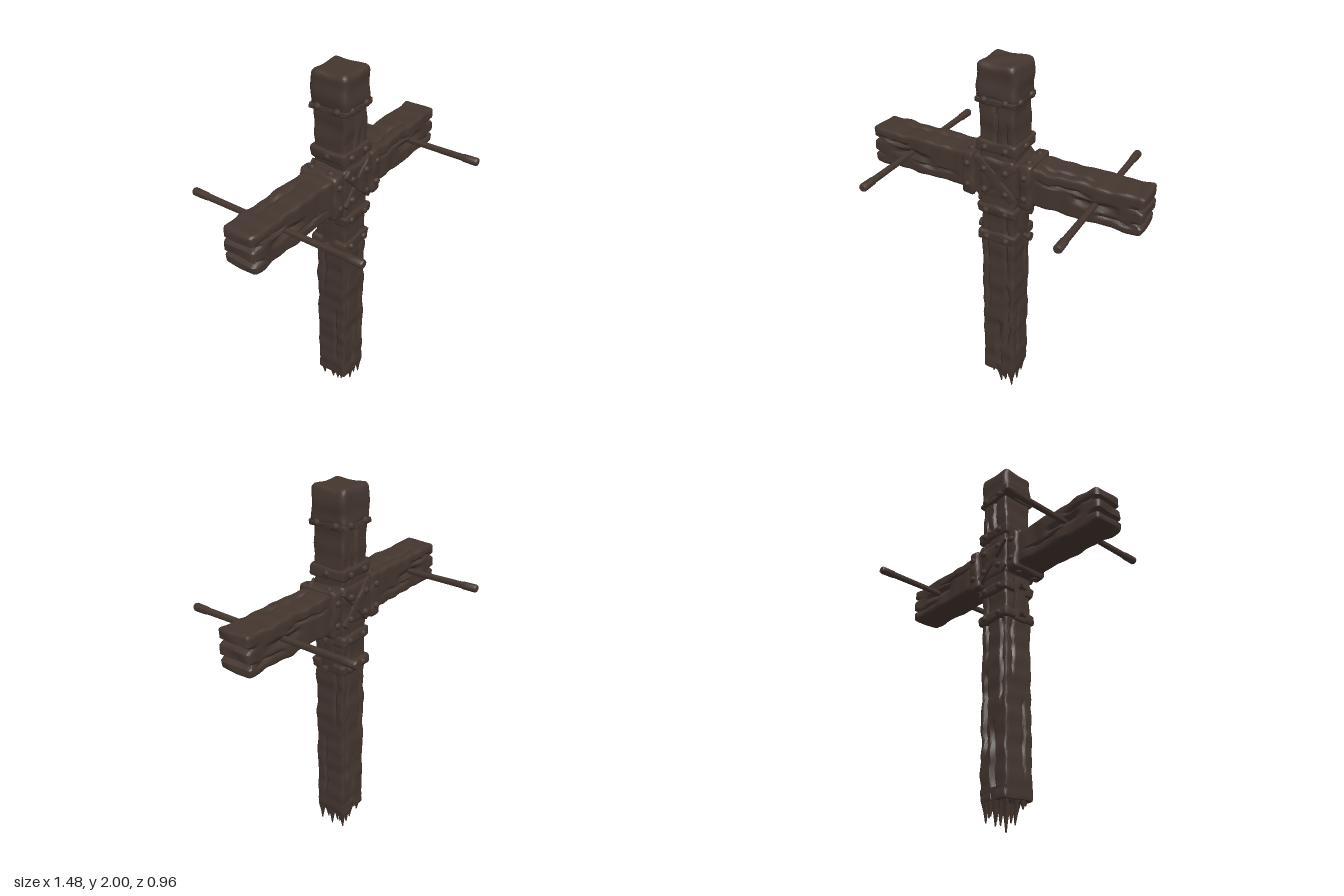
import * as THREE from 'three';
import { mergeVertices, toCreasedNormals } from 'three/addons/utils/BufferGeometryUtils.js';

const darkWood = new THREE.MeshStandardMaterial({ name: 'dark weathered brown', color: 0x44382f });
darkWood.color.set(0x44362f);

const clamp = THREE.MathUtils.clamp;
const hash = (n) => { const s = Math.sin(n * 127.1 + 11.7) * 43758.5453; return s - Math.floor(s); };

// Worn block: rounded corners, wobbling faces, and cracks running along its y axis.
// Each crack is [axis, centre, y0, y1, halfWidth, depth, sides]; sides 0 means both.
function wornBlock(w, h, d, { seg = [8, 6, 8], r = 0.012, wobble = 0.003, seed = 0, cracks = [], endCuts = [] } = {}) {
  let g = new THREE.BoxGeometry(w, h, d, ...seg);
  g.deleteAttribute('normal');
  g.deleteAttribute('uv');
  g = mergeVertices(g, 1e-5);
  const p = g.attributes.position, v = new THREE.Vector3(), c = new THREE.Vector3(), o = new THREE.Vector3();
  for (let i = 0; i < p.count; i++) {
    v.fromBufferAttribute(p, i);
    o.copy(v);
    c.set(clamp(v.x, r - w / 2, w / 2 - r), clamp(v.y, r - h / 2, h / 2 - r), clamp(v.z, r - d / 2, d / 2 - r));
    const off = v.clone().sub(c);
    if (off.lengthSq() > 0) v.copy(c).addScaledVector(off.normalize(), r);
    // Uneven hewn faces
    const y = o.y;
    const n1 = Math.sin(y * 23 + seed + o.z * 9) + 0.7 * Math.sin(y * 61 + seed * 2.3 + Math.sign(o.x) * 2);
    const n2 = Math.sin(y * 27 + seed * 1.7 + o.x * 11) + 0.7 * Math.sin(y * 53 + seed + Math.sign(o.z) * 2);
    v.x += wobble * n1 * o.x / (w / 2);
    v.z += wobble * n2 * o.z / (d / 2);
    v.y += wobble * Math.sin(o.x * 40 + o.z * 33 + seed) * o.y / (h / 2);
    // Long cracks
    for (const [axis, centre, y0, y1, hw, depth, side = 0] of cracks) {
      const cross = axis === 'z' ? 'x' : 'z', half = (axis === 'z' ? d : w) / 2;
      if (Math.abs(o[axis]) < half - 1e-4 || (side && Math.sign(o[axis]) !== side) || y < y0 || y > y1) continue;
      const along = Math.sin(Math.PI * (y - y0) / (y1 - y0));
      const k = 1 - Math.abs(o[cross] - centre - 0.004 * Math.sin(y * 30)) / hw;
      if (k > 0) v[axis] -= Math.sign(o[axis]) * depth * k * Math.sqrt(Math.max(along, 0));
    }
    // Splits across the end grain
    for (const [centre, hw, depth] of endCuts) {
      const k = 1 - Math.abs(o.x - centre) / hw, reach = clamp((Math.abs(y) - h / 2 + 0.08) / 0.08, 0, 1);
      if (k <= 0) continue;
      v.y -= Math.sign(y) * depth * k * reach;
      if (Math.abs(o.z) > d / 2 - 1e-4) v.z -= Math.sign(o.z) * 0.018 * k * reach;
    }
    p.setXYZ(i, v.x, v.y, v.z);
  }
  return toCreasedNormals(g, 0.6);
}

export function createModel() {
  const model = new THREE.Group();
  model.name = 'wooden cross';
  const add = (name, geometry, x, y, z) => {
    const m = new THREE.Mesh(geometry, darkWood);
    m.name = name;
    m.position.set(x, y, z);
    model.add(m);
    return m;
  };

  // Upright post
  add('post', wornBlock(0.186, 1.81, 0.176, {
    seg: [24, 110, 24], seed: 1, wobble: 0.0025, r: 0.01,
    cracks: [
      ['z', 0.055, -0.68, -0.25, 0.014, 0.03], ['z', -0.06, -0.45, 0.1, 0.012, 0.02],
      ['z', 0.0, -1.0, -0.52, 0.018, 0.035], ['z', 0.05, -0.2, 0.2, 0.012, 0.016],
      ['z', -0.005, 0.55, 0.8, 0.012, 0.022], ['z', 0.05, 0.5, 0.68, 0.012, 0.016],
      ['x', 0.03, -0.8, -0.4, 0.012, 0.014], ['x', -0.04, -0.3, 0.1, 0.012, 0.012],
    ],
  }), 0, 1.045, 0);

  // Broken foot: a bundle of tapering splinters
  const n = 5;
  for (let i = 0; i < n; i++) for (let j = 0; j < n; j++) {
    const cx = (i - 2) * 0.036, cz = (j - 2) * 0.034, k = i * n + j;
    const middle = i === 2 && j === 2;
    const tip = middle ? 0 : (i < 2 ? 0.075 : 0.03) + 0.055 * hash(k + 3);
    const top = 0.2, len = top - tip;
    const g = new THREE.CylinderGeometry(0.027, 0.003, len, 4, 3);
    g.rotateY(Math.PI / 4);
    const p = g.attributes.position;
    for (let q = 0; q < p.count; q++) {
      const t = 0.5 - p.getY(q) / len;                  // 0 at the top, 1 at the tip
      const full = t > 0.3 && t < 0.5 ? 1.25 : 1;       // stay thick before tapering
      p.setX(q, p.getX(q) * full + (hash(k) - 0.5) * 0.014 * t);
      p.setZ(q, p.getZ(q) * full + (hash(k + 50) - 0.5) * 0.014 * t);
    }
    add('splinter', toCreasedNormals(g, 0.4), cx, (top + tip) / 2, cz);
  }

  // Crossbar, lying along x
  add('crossbar', wornBlock(0.196, 1.47, 0.172, {
    seg: [24, 100, 20], seed: 4, wobble: 0.0028, r: 0.016,
    cracks: [
      ['z', 0, 0.38, 0.62, 0.026, 0.022], ['z', 0, -0.62, -0.38, 0.026, 0.022],
      ['z', -0.04, 0.2, 0.5, 0.012, 0.015], ['z', 0.04, -0.5, -0.22, 0.012, 0.015],
      ['z', -0.045, -0.72, -0.5, 0.012, 0.016], ['z', 0.05, 0.5, 0.72, 0.012, 0.014],
      ['x', 0.03, 0.2, 0.5, 0.014, 0.014], ['x', -0.03, -0.6, -0.25, 0.014, 0.012],
    ],
    endCuts: [[-0.035, 0.013, 0.03], [0.04, 0.013, 0.025]],
  }), 0, 1.43, 0).rotation.z = -Math.PI / 2;

  // Cap on the post
  add('topCap', wornBlock(0.206, 0.18, 0.202, { seg: [16, 14, 16], r: 0.026, seed: 2 }), 0, 1.91, 0);
  add('capRim', wornBlock(0.214, 0.035, 0.21, { seg: [12, 4, 12], r: 0.01, seed: 5 }), 0, 1.825, 0);

  // Bands around the post
  for (const y of [1.595, 1.25, 1.09])
    add('postBand', wornBlock(0.218, 0.058, 0.212, { seg: [14, 6, 14], r: 0.014, seed: y * 9 }), 0, y, 0);

  // Collars around the crossbar, with the thick joint between them
  for (const s of [-1, 1])
    add('crossbarCollar', wornBlock(0.068, 0.238, 0.216, { seg: [6, 14, 14], r: 0.018, seed: s + 3 }), s * 0.155, 1.425, 0);
  add('joint', wornBlock(0.2, 0.22, 0.19, { seg: [12, 12, 12], r: 0.02, seed: 7 }), 0, 1.43, 0);

  // Domed rivet with its axis along a given direction
  const rivetShape = new THREE.LatheGeometry(
    [[0.018, -0.012], [0.018, 0.004], [0.013, 0.011], [0, 0.014]].map(([x, y]) => new THREE.Vector2(x, y)), 10);
  const up = new THREE.Vector3(0, 1, 0);
  const rivet = (x, y, z, dx, dy, dz) =>
    add('rivet', rivetShape, x, y, z).quaternion.setFromUnitVectors(up, new THREE.Vector3(dx, dy, dz));

  for (const s of [-1, 1]) {
    // Crossed straps on the front and back of the joint
    for (const a of [-1, 1])
      add('crossStrap', wornBlock(0.048, 0.27, 0.02, { seg: [4, 14, 2], r: 0.006, wobble: 0.002, seed: a + s }),
        0, 1.43, s * (0.102 + a * 0.002)).rotation.z = a * Math.PI / 4;
    // Vertical straps on the sides below the crossbar
    add('sideStrap', wornBlock(0.02, 0.25, 0.075, { seg: [2, 12, 6], r: 0.006, wobble: 0.002, seed: s }), s * 0.1, 1.18, 0);

    for (const t of [-1, 1]) {
      for (const y of [1.595, 1.25, 1.09]) rivet(t * 0.055, y, s * 0.106, 0, 0, s);
      for (const y of [1.37, 1.485]) {
        rivet(t * 0.058, y, s * 0.113, 0, 0, s);
        rivet(t * 0.155, y, s * 0.108, 0, 0, s);
      }
      rivet(t * 0.055, 1.832, s * 0.104, 0, 0, s);
      rivet(s * 0.106, 1.832, t * 0.055, s, 0, 0);
      for (const d of [-1, 1]) rivet(t * 0.155, 1.425 + d * 0.118, s * 0.055, 0, d, 0);
    }
    rivet(s * 0.108, 1.595, 0, s, 0, 0);

    // Bolts sticking out of the side straps
    for (const y of [1.25, 1.09]) {
      add('boltShank', new THREE.CylinderGeometry(0.012, 0.012, 0.05, 10), s * 0.118, y, 0).rotation.z = Math.PI / 2;
      add('boltHead', new THREE.CylinderGeometry(0.023, 0.023, 0.016, 10), s * 0.14, y, 0).rotation.z = Math.PI / 2;
    }

    // Long spike driven through each arm
    const half = [[0.0, 0.48], [0.017, 0.48], [0.021, 0.472], [0.02, 0.405], [0.017, 0.39], [0.015, 0.1]];
    const outline = [...half.map(([r, y]) => [r, -y]), ...half.slice().reverse()];
    const spike = add('spike', toCreasedNormals(
      new THREE.LatheGeometry(outline.map(([x, y]) => new THREE.Vector2(x, y)), 12), 0.6), s * 0.505, 1.435, 0);
    spike.rotation.set(Math.PI / 2, 0, -0.008);
  }
  return model;
}
